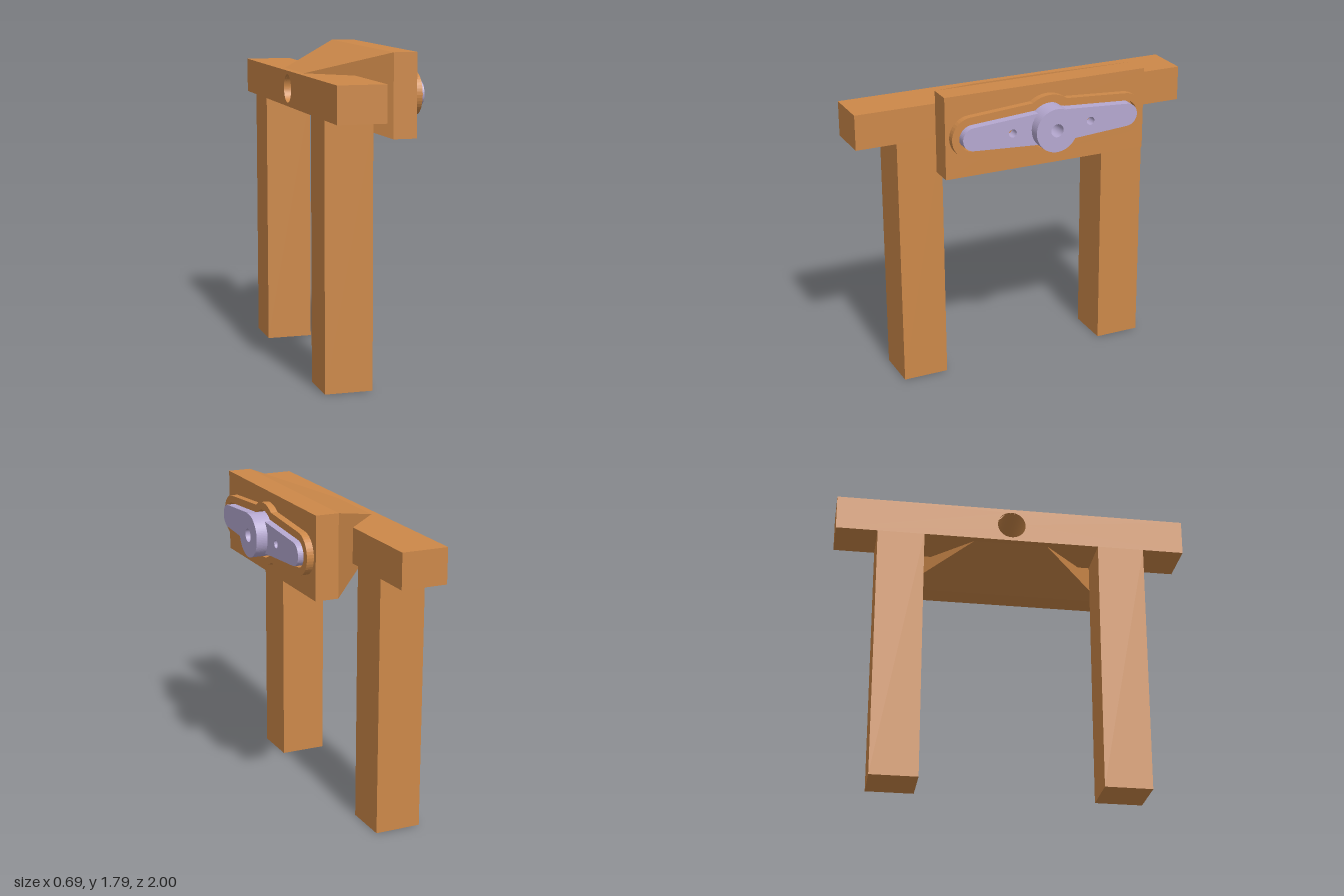
import * as THREE from 'three';

const CY = 1.5625; // height of the horn axis

const circle = (r, u = 0) => new THREE.Path().absarc(u, 0, r, 0, Math.PI * 2, true);

function rectangle(halfW, halfH) {
  return new THREE.Shape([
    new THREE.Vector2(-halfW, -halfH), new THREE.Vector2(halfW, -halfH),
    new THREE.Vector2(halfW, halfH), new THREE.Vector2(-halfW, halfH),
  ]);
}

// Two-armed horn outline, grown outward by a margin
function hornPoints(margin) {
  const hub = 0.123 + margin, joint = 0.09 + margin, tip = 0.065 + margin, tipU = 0.46;
  const a = Math.asin(joint / hub);
  const lean = Math.asin((joint - tip) / (tipU - hub * Math.cos(a)));
  const pts = [];
  const arc = (cx, r, from, to) => {
    for (let i = 0; i <= 20; i++) {
      const t = from + (to - from) * i / 20;
      pts.push(new THREE.Vector2(cx + r * Math.cos(t), r * Math.sin(t)));
    }
  };
  const q = Math.PI / 2 - lean;
  arc(tipU, tip, -q, q);
  arc(0, hub, a, Math.PI - a);
  arc(-tipU, tip, Math.PI - q, Math.PI + q);
  arc(0, hub, Math.PI + a, Math.PI * 2 - a);
  return pts;
}

// Extrudes a shape drawn in the z-y plane from x0 to x1
function extrudeX(shape, x0, x1, holes = []) {
  shape.holes.push(...holes);
  const g = new THREE.ExtrudeGeometry(shape, { depth: x1 - x0, bevelEnabled: false, curveSegments: 40 });
  return g.rotateY(Math.PI / 2).translate(x0, CY, 0);
}

export function createModel() {
  const model = new THREE.Group();
  const orange = new THREE.MeshStandardMaterial({ color: 0xcc8849 });
  orange.name = 'orange body';
  const lilac = new THREE.MeshStandardMaterial({ color: 0xb5a8d0 });
  lilac.name = 'lilac horn';

  const add = (name, geometry, material) => {
    const mesh = new THREE.Mesh(geometry, material);
    mesh.name = name;
    model.add(mesh);
    return mesh;
  };

  // Cross beam with the screw bore
  add('crossBeam', extrudeX(rectangle(1, 0.1), -0.35, -0.085, [circle(0.08)]), orange);

  // Legs
  for (const side of [-1, 1]) {
    const leg = add(side > 0 ? 'frontLeg' : 'backLeg', new THREE.BoxGeometry(0.265, 1.4625, 0.265), orange);
    leg.position.set(-0.2175, 0.73125, side * 0.6325);
  }

  // Tapered neck: the outer corners at the beam end are pulled inward
  const neck = extrudeX(rectangle(0.6, 0.2325), -0.34, 0.08, [circle(0.08)]);
  const p = neck.attributes.position;
  for (let i = 0; i < p.count; i++) {
    if (p.getX(i) < 0 && Math.abs(p.getZ(i)) > 0.5) {
      p.setY(i, CY + Math.sign(p.getY(i) - CY) * 0.09);
      p.setZ(i, Math.sign(p.getZ(i)) * 0.18);
    }
  }
  neck.computeVertexNormals();
  add('taperedNeck', neck, orange);

  // Mounting block and the raised rim around the horn pocket
  add('mountingBlock', extrudeX(rectangle(0.6, 0.2325), 0.08, 0.212, [circle(0.08)]), orange);
  add('pocketRim', extrudeX(new THREE.Shape(hornPoints(0.052)), 0.212, 0.252,
    [new THREE.Path(hornPoints(0.01))]), orange);

  // Horn plate with arm holes, and its hub
  add('hornPlate', extrudeX(new THREE.Shape(hornPoints(0)), 0.215, 0.28,
    [circle(0.037), circle(0.023, 0.235), circle(0.023, -0.235)]), lilac);
  const hub = new THREE.Shape().absarc(0, 0, 0.123, 0, Math.PI * 2, false);
  add('hornHub', extrudeX(hub, 0.28, 0.345, [circle(0.037)]), lilac);

  return model;
}
